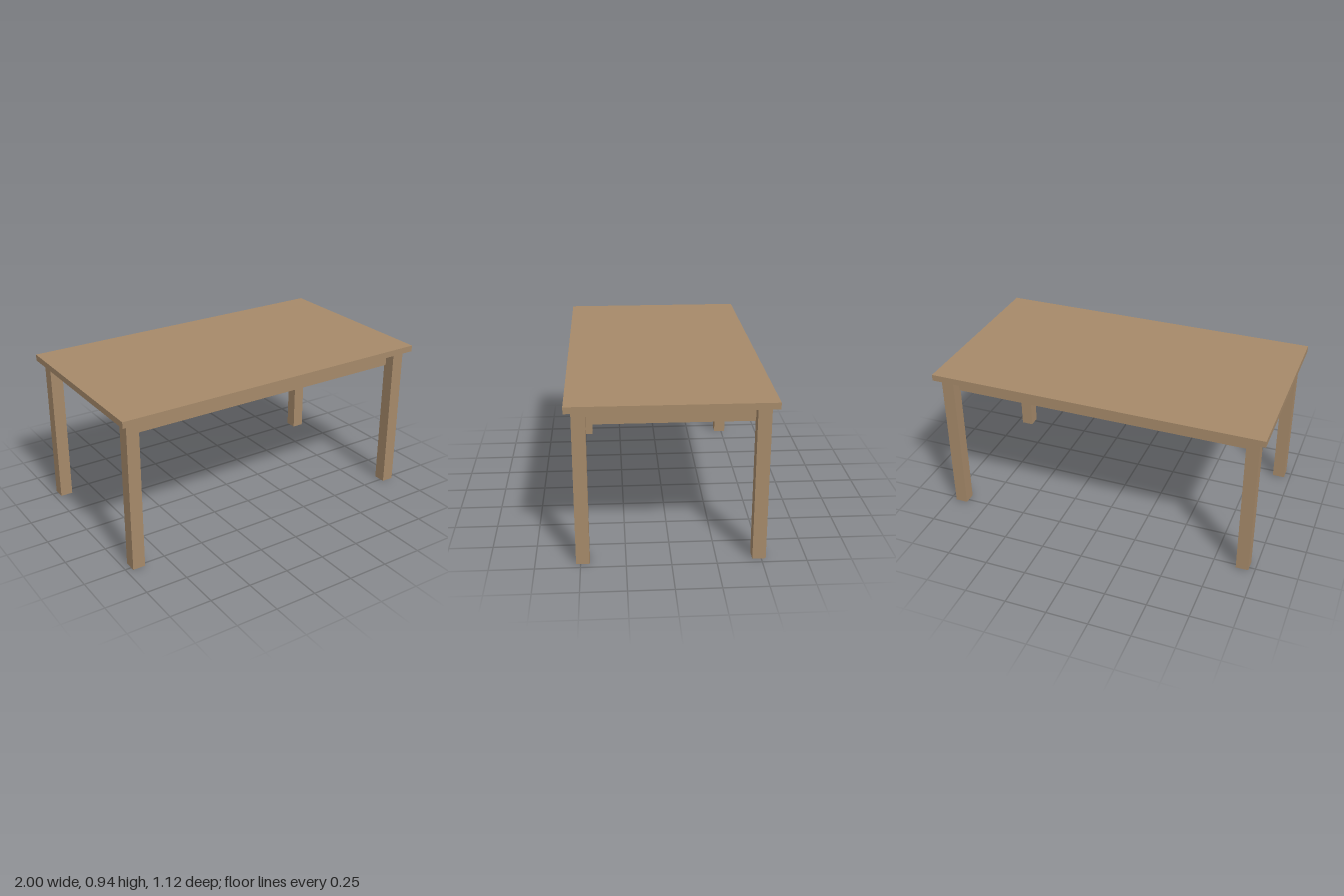
import * as THREE from 'three';

export function createModel() {
  const wood = new THREE.MeshStandardMaterial({ color: 0xa68a6a });
  wood.name = 'wood';
  const table = new THREE.Group();
  table.name = 'table';

  const addBox = (name, size, position) => {
    const mesh = new THREE.Mesh(new THREE.BoxGeometry(...size), wood);
    mesh.name = name;
    mesh.position.set(...position);
    table.add(mesh);
  };

  const legHeight = 0.9, legWidth = 0.075, legX = 0.925, legZ = 0.4875;
  const railHeight = 0.1, railThickness = 0.025;
  const innerX = legX - legWidth / 2, innerZ = legZ - legWidth / 2;
  const railY = legHeight - railHeight / 2;

  // Tabletop
  addBox('tabletop', [2, 0.0375, 1.125], [0, legHeight + 0.01875, 0]);

  // Four square legs, set in from the tabletop edge
  for (const [side, sx] of [['Left', 1], ['Right', -1]]) {
    for (const [end, sz] of [['front', 1], ['back', -1]]) {
      addBox(`${end}${side}Leg`, [legWidth, legHeight, legWidth], [sx * legX, legHeight / 2, sz * legZ]);
    }
  }

  // Apron rails, centred on the inner faces of the legs
  for (const [name, s] of [['front', 1], ['back', -1]]) {
    addBox(`${name}Apron`, [2 * innerX, railHeight, railThickness], [0, railY, s * innerZ]);
  }
  for (const [name, s] of [['left', 1], ['right', -1]]) {
    addBox(`${name}Apron`, [railThickness, railHeight, 2 * innerZ], [s * innerX, railY, 0]);
  }

  return table;
}
